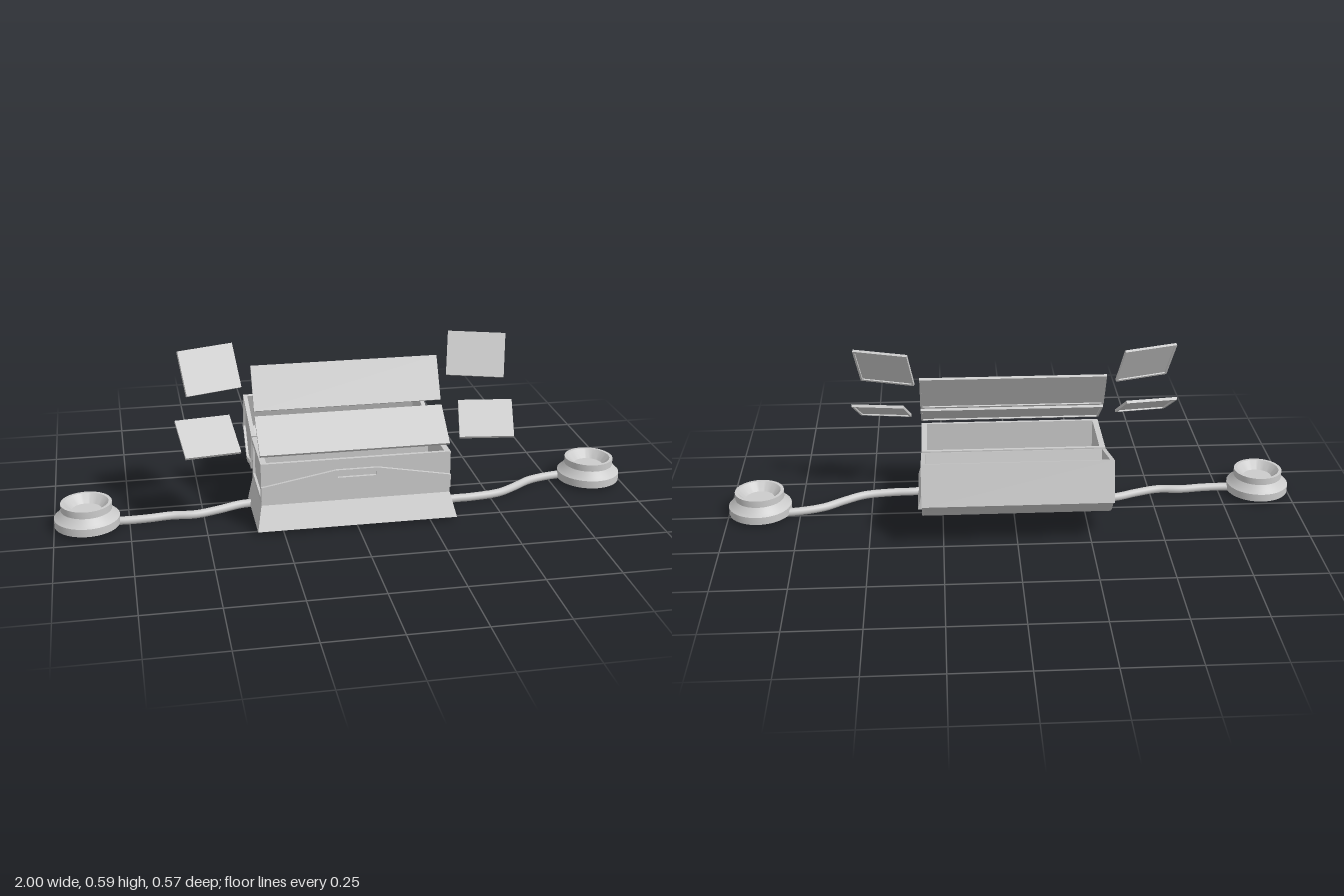
import * as THREE from 'three';
import { toCreasedNormals, mergeGeometries } from 'three/addons/utils/BufferGeometryUtils.js';

const material = new THREE.MeshStandardMaterial({ color: 0xcccccc, side: THREE.DoubleSide });
const vec = (p) => new THREE.Vector3(...p);

function add(parent, name, geometry) {
  const mesh = new THREE.Mesh(geometry, material);
  mesh.name = name;
  parent.add(mesh);
  return mesh;
}

const toShape = (pts) => new THREE.Shape(pts.map(([x, y]) => new THREE.Vector2(x, y)));
const rect = (x0, x1, y0, y1) => [[x0, y0], [x1, y0], [x1, y1], [x0, y1]];

function extrude(pts, depth, hole) {
  const shape = toShape(pts);
  if (hole) shape.holes.push(toShape(hole));
  return new THREE.ExtrudeGeometry(shape, { depth, bevelEnabled: false });
}

// Extrudes a side profile, given as (-z, y), between two x positions
function sideways(pts, x0, x1, hole) {
  return extrude(pts, x1 - x0, hole).rotateY(Math.PI / 2).translate(x0, 0, 0);
}

// Thin tray-like flap: a skewed plate with a raised rim behind it
function flap(parent, name, innerTop, outerTop, innerBottom, thickness = 0.01) {
  const a = vec(innerTop);
  const u = vec(outerTop).sub(a);
  const v = vec(innerBottom).sub(a);
  const n = new THREE.Vector3().crossVectors(u, v).normalize();
  if (n.y < 0) n.negate();
  n.multiplyScalar(thickness);
  const centre = a.clone().addScaledVector(u, 0.5).addScaledVector(v, 0.5).addScaledVector(n, -0.5);
  // keep the local frame right-handed so faces stay outward
  if (new THREE.Vector3().crossVectors(u, v).dot(n) < 0) u.negate();
  const eu = 0.007 / u.length(), ev = 0.007 / v.length();
  const box = (w, h, d, x, y, z) => new THREE.BoxGeometry(w, h, d).translate(x, y, z);
  const parts = [box(1, 1, 0.5, 0, 0, 0.25)];
  for (const s of [-1, 1]) {
    parts.push(box(eu, 1, 0.5, s * (0.5 - eu / 2), 0, -0.25));
    parts.push(box(1 - 2 * eu, ev, 0.5, 0, s * (0.5 - ev / 2), -0.25));
  }
  const basis = new THREE.Matrix4().makeBasis(u, v, n).setPosition(centre);
  add(parent, name, mergeGeometries(parts).applyMatrix4(basis));
}

function makeChest() {
  const chest = new THREE.Group();
  chest.name = 'chest';

  // Flared base, vertical at the back
  const base = new THREE.BoxGeometry(0.64, 0.077, 0.245).translate(0, 0.0515, 0.1225);
  const p = base.attributes.position;
  for (let i = 0; i < p.count; i++) {
    if (p.getY(i) < 0.05) p.setXYZ(i, p.getX(i) * 1.055, p.getY(i), p.getZ(i) * 1.165);
  }
  base.computeVertexNormals();
  add(chest, 'flaredBase', base);

  // Open-topped walls
  const walls = extrude(rect(-0.312, 0.312, -0.245, 0), 0.147, rect(-0.3, 0.3, -0.233, -0.012));
  add(chest, 'walls', walls.rotateX(-Math.PI / 2).translate(0, 0.09, 0));

  // Frames around the recessed end panels
  for (const s of [-1, 1]) {
    const x0 = s > 0 ? 0.312 : -0.32;
    add(chest, s > 0 ? 'leftEndFrame' : 'rightEndFrame',
      sideways(rect(-0.245, 0, 0.09, 0.237), x0, x0 + 0.008, rect(-0.228, -0.017, 0.11, 0.22)));
  }

  // Raised peaked band on the front, with a slot
  const band = [[-0.32, 0.11], [-0.13, 0.165], [0.13, 0.165], [0.32, 0.11],
    [0.32, 0.157], [0.07, 0.202], [-0.07, 0.202], [-0.32, 0.157]];
  add(chest, 'frontBand', extrude(band, 0.01, rect(-0.065, 0.065, 0.175, 0.189)).translate(0, 0, 0.245));
  return chest;
}

function makeLid() {
  const lid = new THREE.Group();
  lid.name = 'openLid';
  const outer = [[0.01, 0.237], [0.05, 0.099], [0.093, 0.1], [0.15, 0.083], [0.182, 0.083],
    [0.209, 0.101], [0.257, 0.154], [0.286, 0.167], [0.245, 0.305]];
  const inset = [[0.03, 0.224], [0.0625, 0.119], [0.096, 0.117], [0.152, 0.099], [0.177, 0.099],
    [0.198, 0.113], [0.245, 0.162], [0.266, 0.178], [0.234, 0.283]];
  const inner = outer.map(([x, y], i) => [(x + inset[i][0]) / 2, (y + inset[i][1]) / 2]);
  inner[0] = [0.02, 0.24];
  inner[8] = [0.235, 0.302];

  // Curved shell, open towards the top
  const shell = sideways([...outer, ...inner.reverse()], -0.312, 0.312);
  add(lid, 'lidShell', toCreasedNormals(shell, 0.8));

  // End plates with raised frames
  for (const s of [-1, 1]) {
    const side = s > 0 ? 'left' : 'right';
    const plate = s > 0 ? 0.306 : -0.312;
    const frame = s > 0 ? 0.312 : -0.32;
    add(lid, side + 'LidPlate', sideways(outer, plate, plate + 0.006));
    add(lid, side + 'LidFrame', sideways(outer, frame, frame + 0.008, inset));
  }
  return lid;
}

// Round stepped foot with a dished top
function makeFoot(name, x, z) {
  const profile = [[0, 0.01], [0.109, 0.01], [0.109, 0.037], [0.098, 0.046], [0.085, 0.064],
    [0.085, 0.088], [0.074, 0.088], [0.05, 0.06], [0, 0.06]];
  const lathe = new THREE.LatheGeometry(profile.map(([r, y]) => new THREE.Vector2(r, y)), 48);
  const foot = new THREE.Mesh(toCreasedNormals(lathe, 0.5), material);
  foot.name = name;
  foot.position.set(x, 0, z);
  return foot;
}

// Wavy hose lying on the ground, with closed ends
function makeHose(name, points) {
  const group = new THREE.Group();
  group.name = name;
  const path = points.map(([x, z]) => new THREE.Vector3(x, 0.014, z));
  add(group, 'hose', new THREE.TubeGeometry(new THREE.CatmullRomCurve3(path), 64, 0.014, 14));
  for (const end of [path[0], path[path.length - 1]]) {
    add(group, 'hoseEnd', new THREE.SphereGeometry(0.014, 14, 8)).position.copy(end);
  }
  return group;
}

export function createModel() {
  const model = new THREE.Group();
  model.name = 'chestWithFlaps';
  model.add(makeChest(), makeLid());

  // Centre flaps floating above the chest
  flap(model, 'upperCentreFlap', [-0.32, 0.503, 0.02], [0.32, 0.503, 0.02], [-0.32, 0.367, 0.093]);
  flap(model, 'lowerCentreFlap', [-0.32, 0.354, 0.107], [0.32, 0.354, 0.107], [-0.32, 0.262, 0.232]);

  // Side flaps, mirrored with a small sideways shift
  for (const s of [-1, 1]) {
    const side = s > 0 ? 'left' : 'right';
    const at = (shift) => (x, y, z) => [s * (x + (s < 0 ? shift : 0)), y, z];
    const hi = at(0.022), lo = at(0.026);
    flap(model, side + 'UpperFlap', hi(0.358, 0.588, 0.021), hi(0.543, 0.588, 0.082), hi(0.337, 0.454, 0.089));
    flap(model, side + 'LowerFlap', lo(0.378, 0.366, 0.106), lo(0.56, 0.366, 0.13), lo(0.354, 0.28, 0.228));
  }

  // Feet and the hoses that reach under the chest
  model.add(
    makeFoot('leftFoot', 0.89, 0.03),
    makeFoot('rightFoot', -0.89, 0.104),
    makeHose('leftHose', [[0.87, 0.0], [0.77, 0.005], [0.67, 0.033], [0.6, 0.08], [0.53, 0.12],
      [0.43, 0.137], [0.34, 0.142], [0.27, 0.17], [0.21, 0.2]]),
    makeHose('rightHose', [[-0.83, 0.105], [-0.77, 0.114], [-0.69, 0.112], [-0.61, 0.103], [-0.53, 0.108],
      [-0.45, 0.085], [-0.36, 0.052], [-0.26, 0.055], [-0.15, 0.08]]),
  );
  return model;
}
